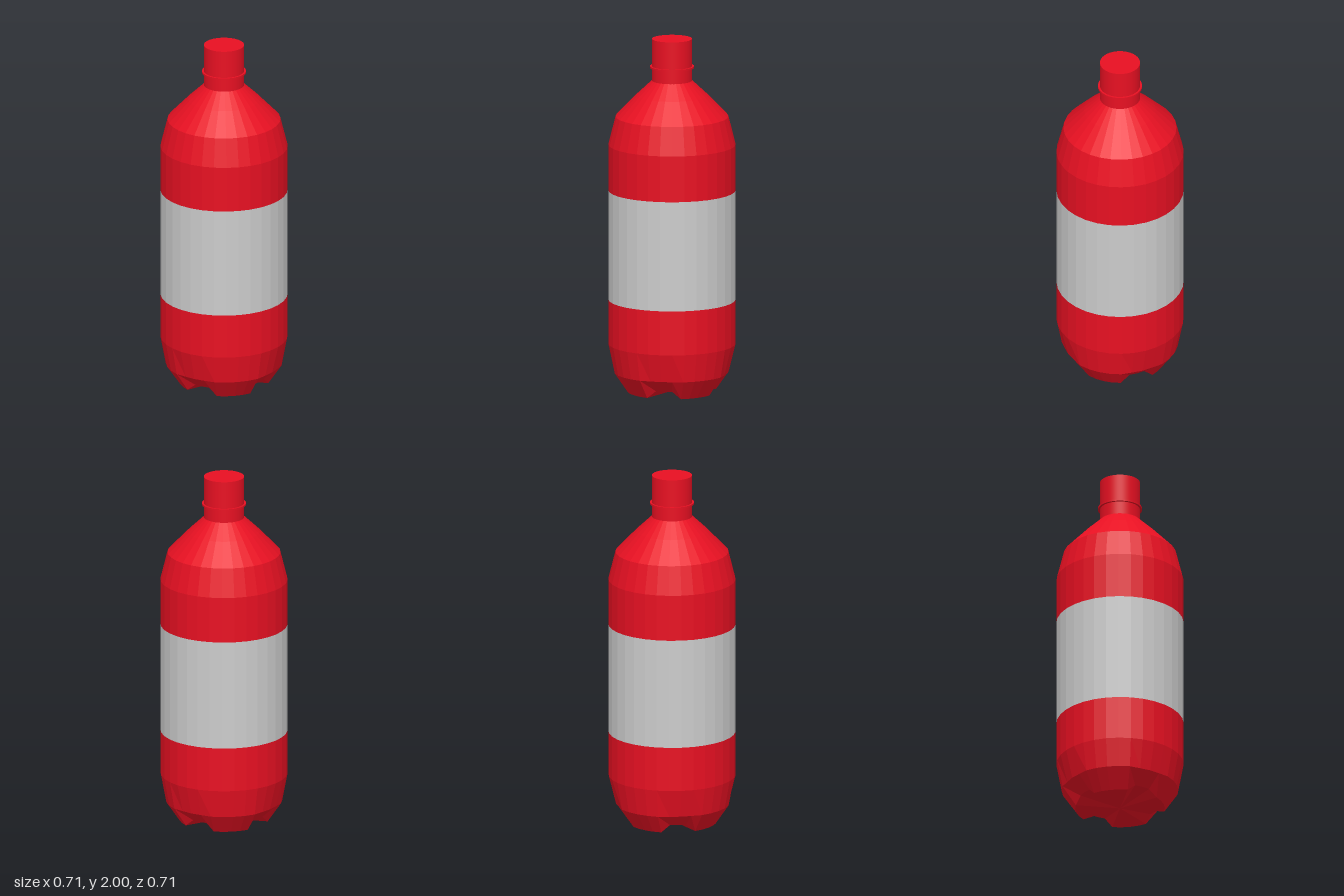
import * as THREE from 'three';

const SIDES = 32;

export function createModel() {
  const bottle = new THREE.Group();
  bottle.name = 'bottle';

  const red = new THREE.MeshStandardMaterial({ color: 0xe81022, flatShading: true });
  const redSmooth = new THREE.MeshStandardMaterial({ color: 0xe81022 });
  const grey = new THREE.MeshStandardMaterial({ color: 0xcccccc, flatShading: true });

  function add(name, geometry, material, y = 0) {
    const mesh = new THREE.Mesh(geometry, material);
    mesh.name = name;
    mesh.position.y = y;
    bottle.add(mesh);
    return mesh;
  }

  // Faceted band turned from [radius, height] pairs, bottom to top
  const turned = (profile) =>
    new THREE.LatheGeometry(profile.map(([r, y]) => new THREE.Vector2(r, y)), SIDES);

  // Lower body with a closed base
  const lowerProfile = [[0, 0], [0.25, 0], [0.325, 0.11], [0.355, 0.27], [0.355, 0.52]];
  const lower = turned(lowerProfile);

  // Four notches on the diagonals divide the base into feet
  const pos = lower.attributes.position;
  for (let i = 0; i <= SIDES; i++) {
    const fromDiagonal = Math.abs((i % 8) - 4);
    if (fromDiagonal > 1) continue;
    const angle = (i / SIDES) * Math.PI * 2;
    const place = (ring, r, y) =>
      pos.setXYZ(i * lowerProfile.length + ring, Math.sin(angle) * r, y, Math.cos(angle) * r);
    place(1, 0.235, 0.04);
    place(2, 0.315, 0.11);
  }
  lower.computeVertexNormals();
  add('lowerBody', lower, red);

  // Label band and shoulders
  add('label', turned([[0.355, 0.52], [0.355, 1.14]]), grey);
  add('upperBody', turned([
    [0.355, 1.14], [0.355, 1.4], [0.315, 1.56], [0.2, 1.68], [0.11, 1.765],
  ]), red);

  // Neck with cap, and the thin collar around it
  add('neckAndCap', new THREE.CylinderGeometry(0.112, 0.112, 0.25, 64), redSmooth, 1.875);
  add('neckCollar', new THREE.CylinderGeometry(0.123, 0.123, 0.01, 64), redSmooth, 1.84);

  return bottle;
}
